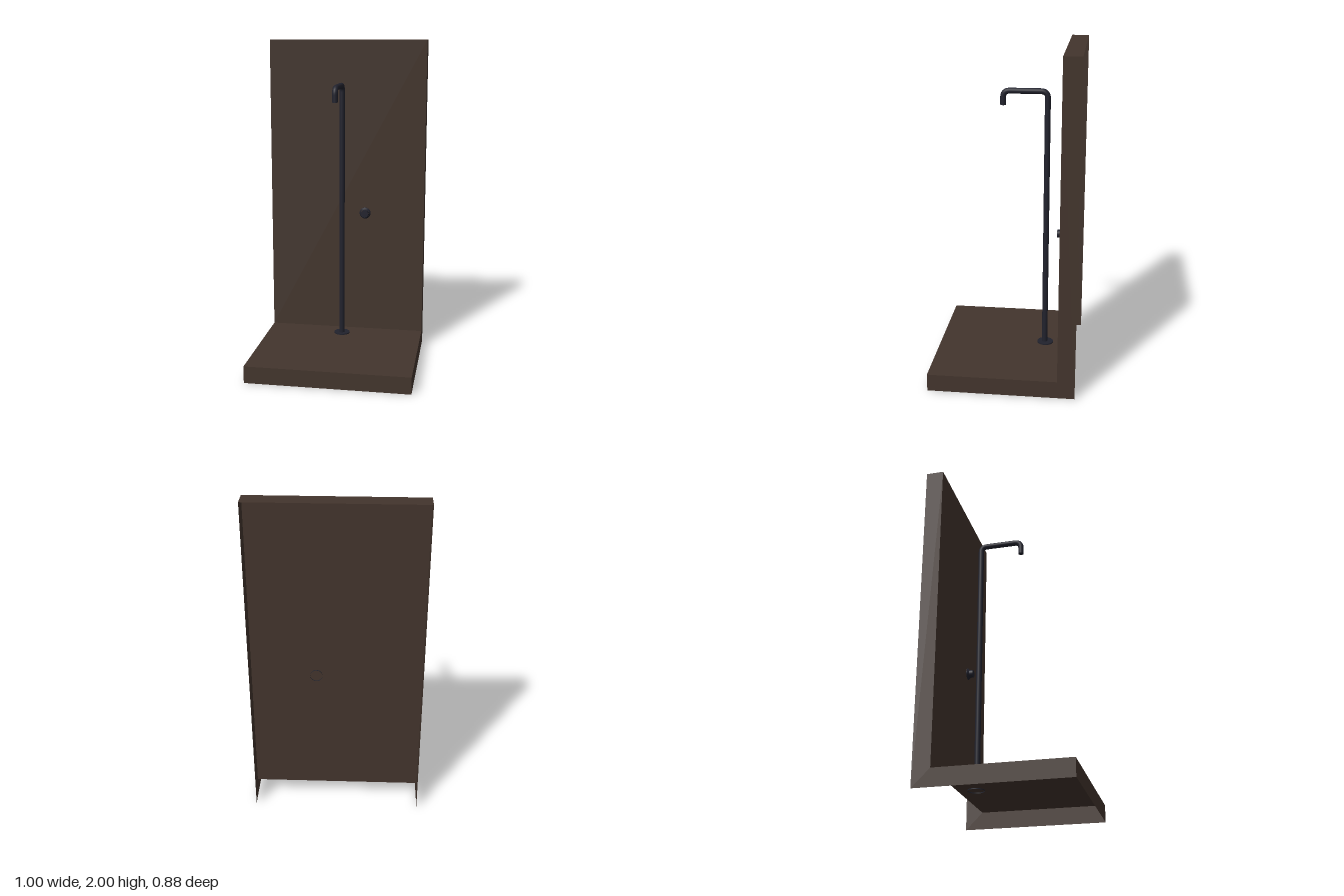
import * as THREE from 'three';

const brown = new THREE.MeshStandardMaterial({ color: 0x43352d, side: THREE.DoubleSide });
brown.name = 'dark brown panel';
const metal = new THREE.MeshStandardMaterial({ color: 0x21222d, side: THREE.DoubleSide });
metal.name = 'blue black metal';

const FLOOR = 0.105, WALL = -0.335, DEPTH = 0.44, HEIGHT = 2;

function add(parent, name, geometry, material) {
  const mesh = new THREE.Mesh(geometry, material);
  mesh.name = name;
  parent.add(mesh);
  return mesh;
}

// Thin L-shaped shell, open at the back and underneath
function createShell() {
  const shell = new THREE.Group();
  shell.name = 'trayAndWall';
  const panel = (name, size, y, z, tilt) => {
    const mesh = add(shell, name, new THREE.PlaneGeometry(1, size), brown);
    mesh.position.set(0, y, z);
    mesh.rotation.x = tilt;
  };
  panel('trayFront', FLOOR, FLOOR / 2, DEPTH, 0);
  panel('trayFloor', DEPTH - WALL, FLOOR, (DEPTH + WALL) / 2, -Math.PI / 2);
  panel('wallFront', HEIGHT - FLOOR, (HEIGHT + FLOOR) / 2, WALL, 0);
  panel('wallTop', DEPTH + WALL, HEIGHT, (WALL - DEPTH) / 2, -Math.PI / 2);

  const outline = new THREE.Shape([
    [-DEPTH, 0], [DEPTH, 0], [DEPTH, FLOOR], [WALL, FLOOR], [WALL, HEIGHT], [-DEPTH, HEIGHT],
  ].map(([z, y]) => new THREE.Vector2(z, y)));
  for (const side of [-1, 1]) {
    const geo = new THREE.ShapeGeometry(outline).rotateY(-Math.PI / 2);
    if (side > 0) { // turn the outer face towards +x
      const index = geo.index.array;
      for (let i = 0; i < index.length; i += 3) [index[i], index[i + 1]] = [index[i + 1], index[i]];
      geo.computeVertexNormals();
    }
    add(shell, side < 0 ? 'rightSide' : 'leftSide', geo, brown).position.x = side * 0.5;
  }
  return shell;
}

// Bent standpipe with a floor flange
function createPipe() {
  const pipe = new THREE.Group();
  pipe.name = 'showerPipe';
  const x = -0.015, back = -0.222, front = 0.043, top = 1.725, end = 1.64, bend = 0.04, r = 0.0175;
  const v = (y, z) => new THREE.Vector3(x, y, z);
  const path = new THREE.CurvePath();
  path.add(new THREE.LineCurve3(v(FLOOR, back), v(top - bend, back)));
  path.add(new THREE.QuadraticBezierCurve3(v(top - bend, back), v(top, back), v(top, back + bend)));
  path.add(new THREE.LineCurve3(v(top, back + bend), v(top, front - bend)));
  path.add(new THREE.QuadraticBezierCurve3(v(top, front - bend), v(top, front), v(top - bend, front)));
  path.add(new THREE.LineCurve3(v(top - bend, front), v(end, front)));
  add(pipe, 'standpipe', new THREE.TubeGeometry(path, 220, r, 16), metal);

  const cap = add(pipe, 'spoutEnd', new THREE.CircleGeometry(r, 16), metal);
  cap.position.set(x, end, front);
  cap.rotation.x = Math.PI / 2;

  // open underneath, its rim passing just through the floor
  const rim = add(pipe, 'floorFlangeRim', new THREE.CylinderGeometry(0.05, 0.05, 0.013, 32, 1, true), metal);
  rim.position.set(x, FLOOR + 0.0005, back - 0.004);
  const plate = add(pipe, 'floorFlangeTop', new THREE.CircleGeometry(0.05, 32), metal);
  plate.position.set(x, FLOOR + 0.007, back - 0.004);
  plate.rotation.x = -Math.PI / 2;
  return pipe;
}

// Round valve knob on the wall
function createKnob() {
  const knob = new THREE.Group();
  knob.name = 'valveKnob';
  const ring = (name, rFront, rBack, from, to) => {
    const geo = new THREE.CylinderGeometry(rFront, rBack, to - from, 32, 1, true).rotateX(Math.PI / 2);
    add(knob, name, geo, metal).position.z = (from + to) / 2;
  };
  ring('knobRim', 0.036, 0.036, -0.007, 0.003);
  ring('knobCollar', 0.026, 0.036, 0.003, 0.014);
  ring('knobGrip', 0.024, 0.024, 0.01, 0.036);
  const face = add(knob, 'knobFace', new THREE.CircleGeometry(0.024, 32), metal);
  face.position.z = 0.036;
  knob.position.set(0.119, 0.893, WALL);
  return knob;
}

export function createModel() {
  const model = new THREE.Group();
  model.name = 'showerStation';
  model.add(createShell(), createPipe(), createKnob());
  return model;
}
